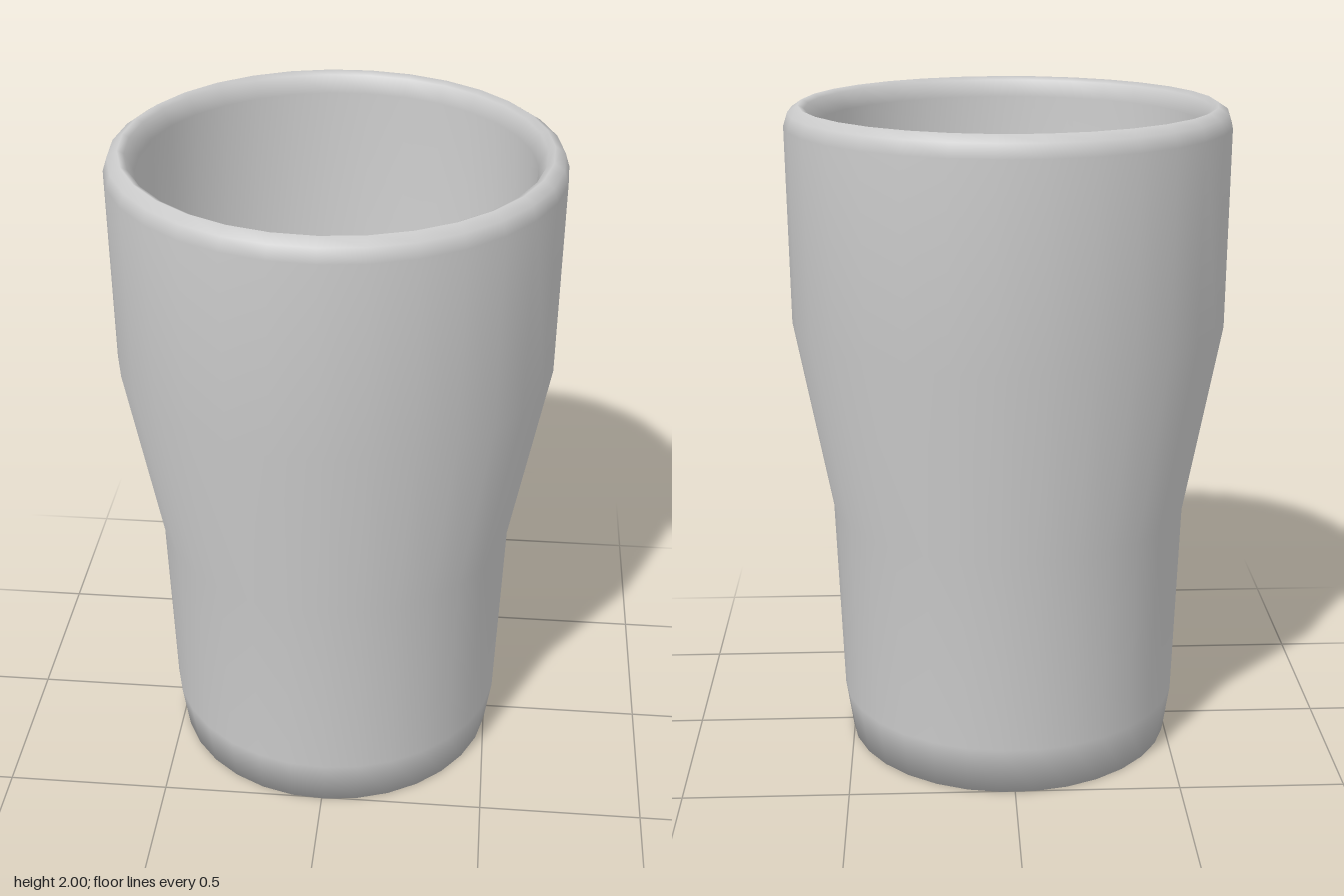
import * as THREE from 'three';

export function createModel() {
  const group = new THREE.Group();
  group.name = 'tumbler';
  const material = new THREE.MeshStandardMaterial({ color: 0xcccccc });

  // One closed profile (radius, height): base, outer wall, rim, inner wall, floor
  const profile = [
    [0, 0], [0.505, 0],
    [0.527, 0.15], [0.547, 0.76], [0.655, 1.35], [0.66, 1.94],
    [0.647, 1.98], [0.617, 2], [0.598, 1.99], [0.573, 1.94],
    [0.58, 1.37], [0.475, 0.77], [0.455, 0.16], [0, 0.12],
  ].map(([r, y]) => new THREE.Vector2(r, y));

  // 31 sides, turned slightly about the axis
  const cup = new THREE.Mesh(
    new THREE.LatheGeometry(profile, 31, THREE.MathUtils.degToRad(1)),
    material
  );
  cup.name = 'cupBody';
  group.add(cup);
  return group;
}
